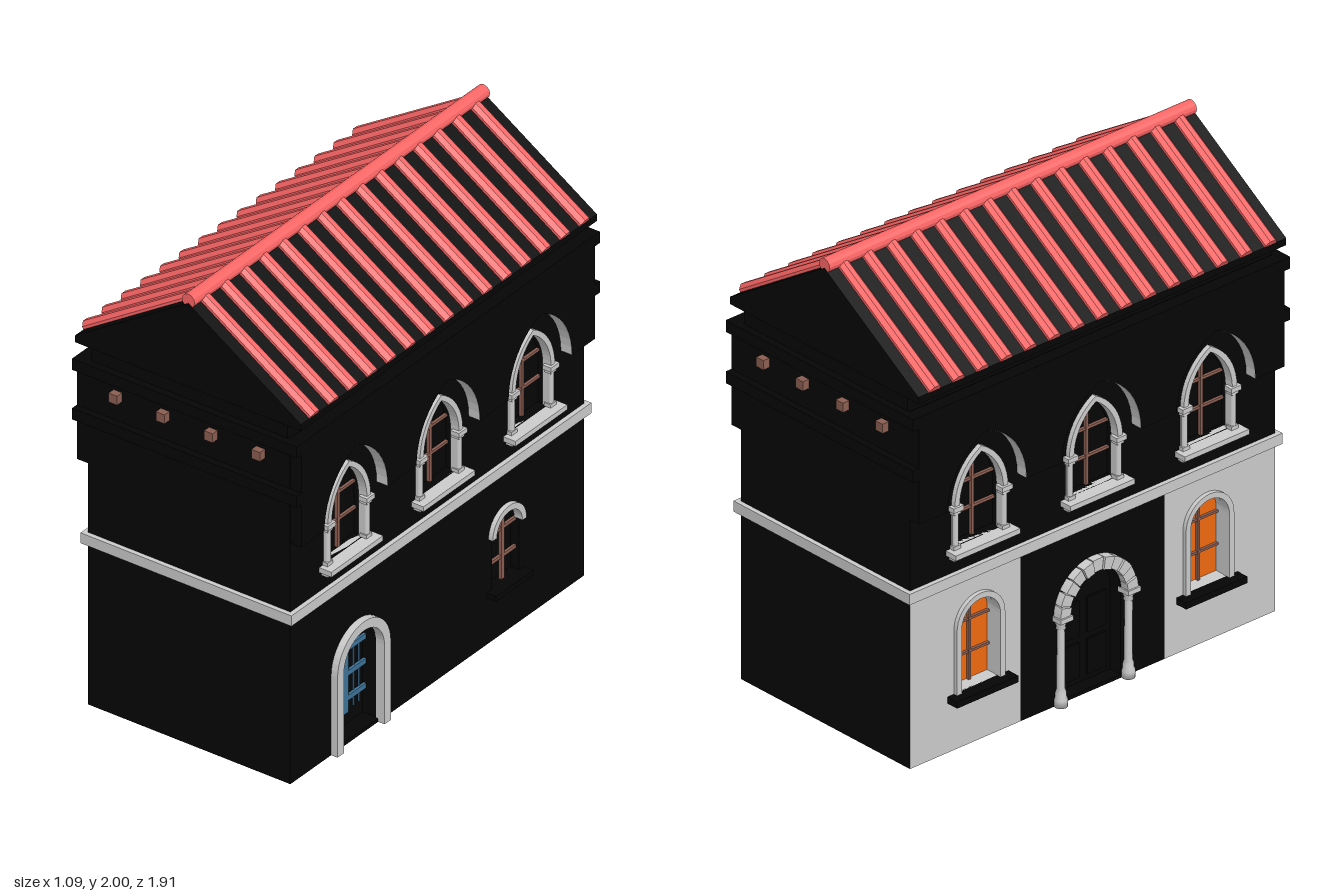
import * as THREE from 'three';

const mat = (color, flat = false) => new THREE.MeshStandardMaterial({ color, flatShading: flat, side: THREE.DoubleSide });
const grey = mat(0xcccccc), black = mat(0x050505), red = mat(0xff6666, true);
const brown = mat(0x8c5f52), blue = mat(0x3d7399), orange = mat(0xf06a10);

function add(parent, name, geo, material, x = 0, y = 0, z = 0) {
  const m = new THREE.Mesh(geo, material);
  m.name = name;
  m.position.set(x, y, z);
  parent.add(m);
  return m;
}

// Box given by its limits
function box(parent, name, material, x0, x1, y0, y1, z0, z1) {
  return add(parent, name, new THREE.BoxGeometry(x1 - x0, y1 - y0, z1 - z0), material,
    (x0 + x1) / 2, (y0 + y1) / 2, (z0 + z1) / 2);
}

function slab(parent, name, material, shape, z0, z1) {
  const geo = new THREE.ExtrudeGeometry(shape, { depth: z1 - z0, bevelEnabled: false });
  return add(parent, name, geo, material, 0, 0, z0);
}

// Round or pointed arch, from right springing to left springing
function arch(u, w, spring, apex, n = 10) {
  const h = apex - spring, R = (w * w + h * h) / (2 * w), end = Math.acos((R - w) / R);
  const half = [];
  for (let i = 0; i <= n; i++) {
    const t = (end * i) / n;
    half.push([w - R + R * Math.cos(t), spring + R * Math.sin(t)]);
  }
  const left = half.slice(0, -1).reverse().map(([x, y]) => [-x, y]);
  return [...half, ...left].map(([x, y]) => new THREE.Vector2(u + x, y));
}

const opening = (u, w, base, spring, apex) =>
  [new THREE.Vector2(u + w, base), ...arch(u, w, spring, apex), new THREE.Vector2(u - w, base)];

// Arched band open at the bottom
const band = (u, w, t, base, spring, apex) => new THREE.Shape(
  [...opening(u, w, base, spring, apex), ...opening(u, w - t, base, spring, apex - t).reverse()]);

// Thin wall with arched holes
function wall(parent, name, material, u0, u1, y0, y1, holes) {
  const s = new THREE.Shape([[u0, y0], [u1, y0], [u1, y1], [u0, y1]].map(p => new THREE.Vector2(...p)));
  holes.forEach(h => s.holes.push(new THREE.Path(opening(...h))));
  slab(parent, name, material, s, -0.006, 0);
}

// Reveal behind a hole, closed by a pane at the given depth
function recess(parent, name, hole, depth, revealMaterial, paneMaterial) {
  const [u, w, base, spring, apex] = hole;
  const rim = new THREE.Shape(opening(u, w + 0.012, base - 0.012, spring, apex + 0.012));
  slab(parent, name, paneMaterial, rim, -depth - 0.005, -depth);
  rim.holes.push(new THREE.Path(opening(...hole)));
  slab(parent, 'reveal', revealMaterial, rim, -depth, -0.002);
}

// Cross bars: one upright and several level bars
function bars(parent, material, u, w, y0, y1, levels, t, z) {
  box(parent, 'uprightBar', material, u - t, u + t, y0, y1, z - 0.014, z);
  levels.forEach(y => box(parent, 'levelBar', material, u - w, u + w, y - t * 0.8, y + t * 0.8, z - 0.014, z - 0.002));
}

// Upper window: pointed moulding, colonnettes, capitals and stepped sill
function upperWindow(parent, u, hole) {
  const g = new THREE.Group();
  g.name = 'upperWindow';
  parent.add(g);
  recess(g, 'pane', hole, 0.045, black, black);
  bars(g, brown, u, 0.112, 0.87, 1.25, [0.99, 1.11], 0.007, -0.03);
  slab(g, 'archMoulding', grey, band(u, 0.135, 0.024, 1.05, 1.05, 1.27), -0.02, 0.02);
  box(g, 'sill', grey, u - 0.163, u + 0.163, 0.848, 0.87, -0.03, 0.057);
  box(g, 'sillStep', grey, u - 0.148, u + 0.148, 0.828, 0.848, 0, 0.03);
  for (const s of [-1, 1]) {
    const x = u + s * 0.123;
    add(g, 'colonnette', new THREE.CylinderGeometry(0.013, 0.013, 0.17, 10), grey, x, 0.955, 0.008);
    box(g, 'jamb', grey, x - 0.013, x + 0.013, 0.87, 1.05, -0.02, 0.006);
    box(g, 'capital', grey, x - 0.026, x + 0.026, 1.035, 1.055, -0.01, 0.03);
    box(g, 'neck', grey, x - 0.018, x + 0.018, 1.02, 1.035, -0.01, 0.022);
    box(g, 'base', grey, x - 0.018, x + 0.018, 0.87, 0.885, -0.01, 0.022);
  }
}

// Upper floor of a long side: wall, windows and overhanging arcade
function upperFloor(parent) {
  const centres = [-0.58, 0, 0.58];
  const holes = centres.map(u => [u, 0.115, 0.87, 1.05, 1.25]);
  wall(parent, 'upperWall', black, -0.924, 0.924, 0.74, 1.53, holes);
  holes.forEach(h => upperWindow(parent, h[0], h));
  const pts = [[0.925, 1.07], [0.925, 1.53], [-0.925, 1.53], [-0.925, 1.07]].map(p => new THREE.Vector2(...p));
  centres.forEach(u => {
    pts.push(...arch(u, 0.2, 1.07, 1.35).reverse());
    slab(parent, 'nicheReveal', grey, band(u, 0.2, 0.0008, 1.07, 1.07, 1.35), 0, 0.051);
  });
  slab(parent, 'overhang', black, new THREE.Shape(pts), 0, 0.052);
}

// Right ground floor: barred door and small window
function rightGround(parent) {
  const door = [-0.5, 0.13, 0.015, 0.355, 0.485], win = [0.43, 0.085, 0.23, 0.46, 0.545];
  wall(parent, 'groundWall', black, -0.924, 0.924, 0, 0.74, [door, win]);
  recess(parent, 'doorPanel', door, 0.075, black, black);
  slab(parent, 'doorFrame', grey, band(-0.5, 0.168, 0.04, 0, 0.352, 0.52), -0.01, 0.03);
  bars(parent, blue, -0.5, 0.128, 0.08, 0.485, [0.14, 0.25, 0.36], 0.014, -0.055);
  for (const d of [-0.1, -0.065, -0.03, 0.03, 0.065, 0.1])
    box(parent, 'thinBar', d === -0.03 ? orange : blue, -0.502 + d, -0.498 + d, 0.08, 0.43, -0.072, -0.066);
  recess(parent, 'smallPane', win, 0.04, black, black);
  bars(parent, brown, 0.43, 0.1, 0.23, 0.55, [0.33, 0.455], 0.009, -0.012);
  slab(parent, 'smallArch', grey, band(0.43, 0.107, 0.026, 0.46, 0.46, 0.566), -0.02, 0.02);
  box(parent, 'smallSill', black, 0.31, 0.55, 0.208, 0.23, -0.02, 0.045);
}

// Left ground floor: two plastered bays and a columned doorway
function leftGround(parent) {
  for (const s of [-1, 1]) {
    const u = s * 0.58, win = [u, 0.1, 0.24, 0.515, 0.615];
    wall(parent, 'plasterBay', grey, s < 0 ? -0.924 : 0.365, s < 0 ? -0.365 : 0.924, 0, 0.74, [win]);
    recess(parent, 'orangePane', win, 0.06, grey, orange);
    bars(parent, brown, u, 0.1, 0.24, 0.615, [0.36, 0.5], 0.006, -0.045);
    slab(parent, 'windowFrame', grey, band(u, 0.122, 0.024, 0.24, 0.515, 0.637), -0.02, 0.018);
    box(parent, 'windowSill', black, u - 0.155, u + 0.155, 0.212, 0.24, -0.005, 0.055);
    box(parent, 'innerSill', grey, u - 0.14, u + 0.14, 0.212, 0.238, -0.08, -0.005);
  }
  const door = [0, 0.142, 0.015, 0.38, 0.522];
  wall(parent, 'doorBay', black, -0.365, 0.365, 0, 0.74, [door]);
  recess(parent, 'doorLeaf', door, 0.06, black, black);
  for (const s of [-1, 1]) for (const y of [0.04, 0.22])
    box(parent, 'doorField', black, s * 0.068 - 0.048, s * 0.068 + 0.048, y, y + 0.15, -0.06, -0.05);
  // Arch stones
  const n = 11;
  for (let i = 0; i < n; i++) {
    const a = (Math.PI * (i + 0.04)) / n, b = (Math.PI * (i + 0.96)) / n, s = new THREE.Shape();
    s.absarc(0, 0.38, 0.197, a, b, false);
    s.absarc(0, 0.38, 0.145, b, a, true);
    slab(parent, 'archStone', grey, s, -0.01, i % 2 ? 0.034 : 0.04);
  }
  // Columns
  const profile = [[0, 0], [0.027, 0], [0.027, 0.03], [0.022, 0.045], [0.022, 0.06], [0.017, 0.075], [0.015, 0.33],
    [0.02, 0.335], [0.017, 0.345], [0.027, 0.37], [0.027, 0.38], [0, 0.38]].map(p => new THREE.Vector2(...p));
  for (const s of [-1, 1]) {
    add(parent, 'doorColumn', new THREE.LatheGeometry(profile, 12), grey, s * 0.171, 0, 0.012);
    box(parent, 'columnCap', grey, s * 0.171 - 0.032, s * 0.171 + 0.032, 0.37, 0.39, -0.01, 0.047);
  }
}

export function createModel() {
  const house = new THREE.Group();
  house.name = 'house';

  // Long sides, drawn facing +z and turned outwards
  for (const s of [1, -1]) {
    const side = new THREE.Group();
    side.name = s > 0 ? 'leftHandSide' : 'rightHandSide';
    side.rotation.y = (s * Math.PI) / 2;
    side.position.x = s * 0.475;
    upperFloor(side);
    (s > 0 ? rightGround : leftGround)(side);
    house.add(side);
  }

  // Gable ends with ledges and beam ends
  for (const s of [1, -1]) {
    const end = new THREE.Group();
    end.name = s > 0 ? 'frontEnd' : 'backEnd';
    end.rotation.y = s > 0 ? 0 : Math.PI;
    box(end, 'endWall', black, -0.4745, 0.4745, 0, 1.53, 0.917, 0.925);
    for (const y of [1.26, 1.48]) box(end, 'ledge', black, -0.527, 0.527, y, y + 0.05, 0.92, 0.955);
    for (const x of [-0.335, -0.113, 0.113, 0.335])
      box(end, 'beamEnd', brown, x - 0.02, x + 0.02, 1.402, 1.442, 0.9, 0.956);
    house.add(end);
  }

  // String course, ceiling and wall head
  box(house, 'stringCourse', grey, -0.495, 0.495, 0.718, 0.764, -0.945, 0.945);
  box(house, 'ceiling', black, -0.469, 0.469, 0.71, 0.72, -0.917, 0.917);
  box(house, 'wallHead', black, -0.46, 0.46, 1.5, 1.6, -0.924, 0.924);

  // Roof body
  const roof = new THREE.Shape([[-0.53, 1.59], [0.53, 1.59], [0.53, 1.62], [0, 1.96], [-0.53, 1.62]]
    .map(p => new THREE.Vector2(...p)));
  slab(house, 'roof', black, roof, -0.932, 0.932);

  // Roof tiles, a flat facet outwards, and ridge
  const dx = 0.525, dy = 0.337;
  const tile = new THREE.CylinderGeometry(0.028, 0.031, Math.hypot(dx, dy), 8);
  tile.rotateY(Math.PI / 8);
  for (const s of [1, -1]) for (let i = -7; i <= 7; i++) {
    const t = add(house, 'roofTile', tile, red, s * (0.005 + dx / 2), 1.957 - dy / 2, i * 0.1215);
    t.rotation.z = s * Math.atan2(dx, dy);
  }
  const ridge = add(house, 'ridgeTile', new THREE.CylinderGeometry(0.03, 0.03, 1.86, 12), red, 0, 1.97, 0);
  ridge.rotation.x = Math.PI / 2;
  return house;
}
